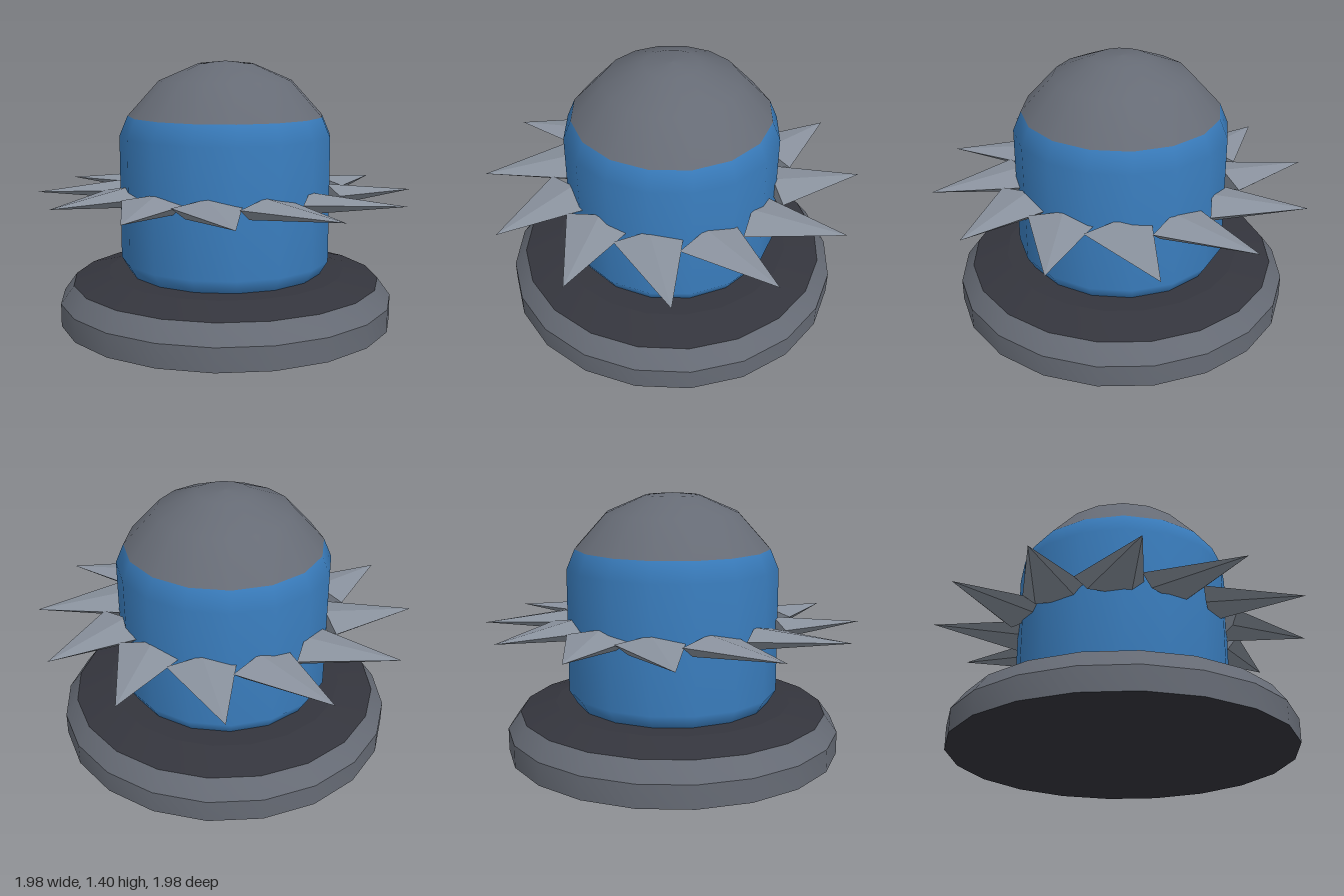
import * as THREE from 'three';
import { toCreasedNormals } from 'three/addons/utils/BufferGeometryUtils.js';

const material = (color, flatShading = false) => {
  const m = new THREE.MeshStandardMaterial({ flatShading });
  m.color.setHex(color);
  return m;
};

const blue = material(0x3a7ebf);
const grey = material(0x666b75);
const dark = material(0x34353d);
const steel = material(0x8a929e, true);

function lathe(name, profile, sides, mat, crease) {
  let geometry = new THREE.LatheGeometry(profile.map(([r, y]) => new THREE.Vector2(r, y)), sides);
  if (crease) geometry = toCreasedNormals(geometry, crease);
  const mesh = new THREE.Mesh(geometry, mat);
  mesh.name = name;
  return mesh;
}

// Five-sided flattened spike, leaning sideways like a saw tooth
function spikeGeometry() {
  const length = 0.49;
  const g = new THREE.ConeGeometry(0.19, length, 5, 1, false, Math.PI);
  g.translate(0, length / 2, 0);
  g.rotateX(Math.PI / 2);
  g.scale(1, 0.265, 1);
  g.rotateY(THREE.MathUtils.degToRad(25));
  g.translate(0, 0, 0.546);
  return g;
}

export function createModel() {
  const model = new THREE.Group();

  // Base: dark underside, grey bevelled rim, dark sloping top
  model.add(
    lathe('baseUnderside', [[0, 0], [0.25, 0.003], [0.9, 0.013]], 20, dark),
    lathe('baseRim', [[0.9, 0.013], [0.9, 0.135], [0.83, 0.23]], 20, grey, 0.4),
    lathe('baseTop', [[0.83, 0.23], [0.64, 0.278], [0, 0.28]], 20, dark, 0.2)
  );

  // Rounded body and its cap
  model.add(
    lathe('body', [[0.46, 0.2], [0.525, 0.28], [0.567, 0.35], [0.567, 1.01], [0.523, 1.115]], 16, blue),
    lathe('domeCap', [[0.523, 1.115], [0.355, 1.3], [0.145, 1.39], [0, 1.403]], 16, grey)
  );

  // Ring of spikes
  const ring = new THREE.Group();
  ring.name = 'spikeRing';
  ring.position.y = 0.705;
  const geometry = spikeGeometry();
  for (let i = 0; i < 12; i++) {
    const spike = new THREE.Mesh(geometry, steel);
    spike.name = 'spike';
    spike.rotation.y = (i * Math.PI) / 6;
    ring.add(spike);
  }
  model.add(ring);
  return model;
}
